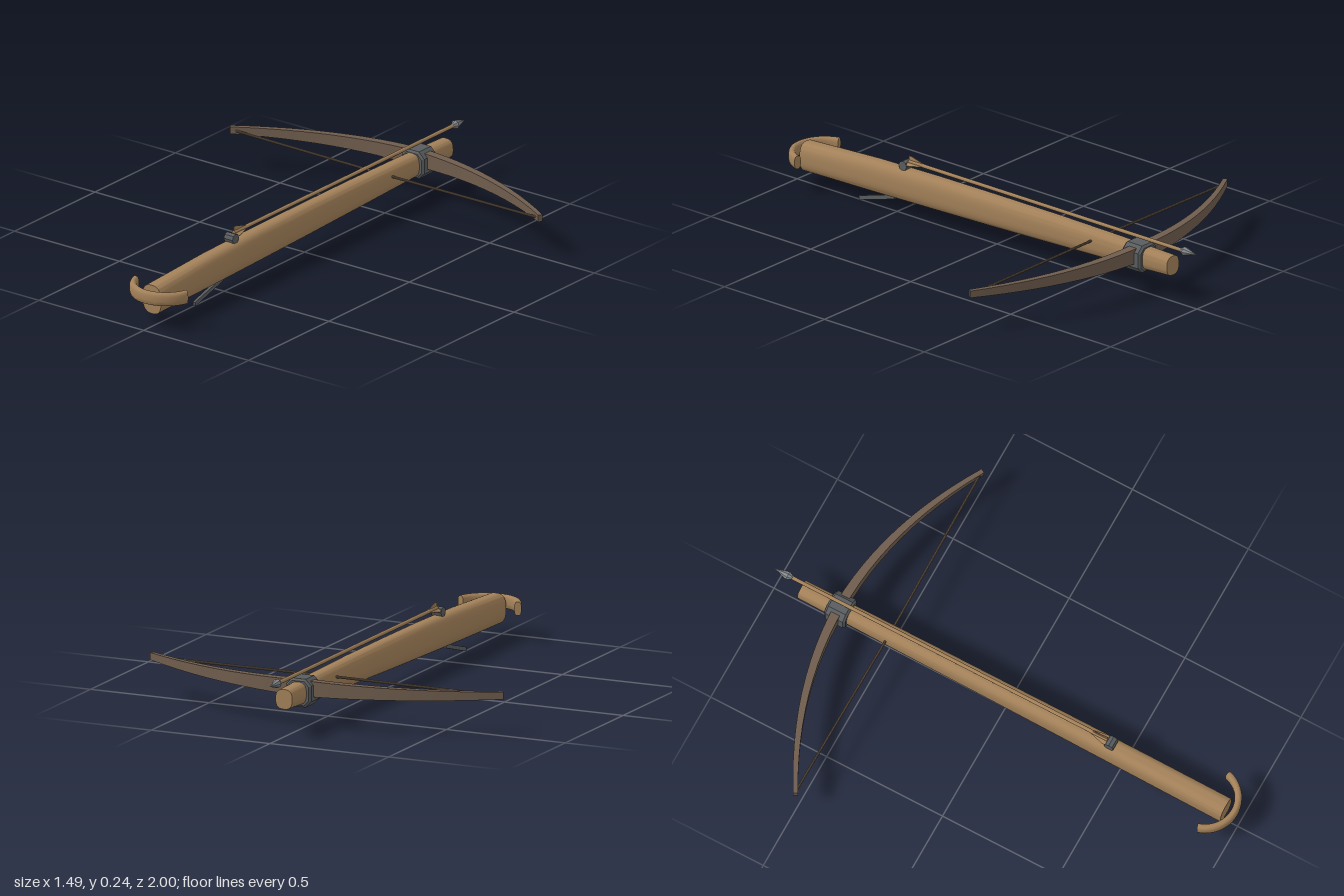
import * as THREE from 'three';
import { toCreasedNormals } from 'three/addons/utils/BufferGeometryUtils.js';

const material = (color) => new THREE.MeshStandardMaterial({ color });
const V = (x, y, z) => new THREE.Vector3(x, y, z);

// Capped sweep along stations { p, w, h } (half width, half height) with a
// superellipse section of n sides; an infinite exponent with n = 4 is a box.
function sweep(stations, n, exponent) {
  const pos = [], index = [];
  const up = V(0, 1, 0);
  const last = stations.length - 1;
  const shape = (c) => Math.sign(c) * Math.pow(Math.abs(c), 2 / exponent);
  stations.forEach(({ p, w, h }, i) => {
    const t = stations[Math.min(i + 1, last)].p.clone()
      .sub(stations[Math.max(i - 1, 0)].p).normalize();
    const u = up.clone().cross(t).normalize();
    const v = t.clone().cross(u);
    for (let j = 0; j < n; j++) {
      const a = ((j + 0.5) / n) * Math.PI * 2;
      const q = p.clone().addScaledVector(u, w * shape(Math.cos(a)))
        .addScaledVector(v, h * shape(Math.sin(a)));
      pos.push(q.x, q.y, q.z);
    }
  });
  const start = pos.length / 3;
  pos.push(...stations[0].p.toArray(), ...stations[last].p.toArray());
  for (let j = 0; j < n; j++) {
    const k = (j + 1) % n;
    for (let i = 0; i < last; i++) {
      const a = i * n + j, b = i * n + k;
      index.push(a, b, a + n, b, b + n, a + n);
    }
    index.push(start, k, j, start + 1, last * n + j, last * n + k);
  }
  const geo = new THREE.BufferGeometry();
  geo.setAttribute('position', new THREE.Float32BufferAttribute(pos, 3));
  geo.setIndex(index);
  return toCreasedNormals(geo, 0.6);
}

export function createModel() {
  const model = new THREE.Group();
  model.name = 'crossbow';
  const wood = material(0xa38159);
  const darkWood = material(0x6f5d4d);
  const metal = material(0x5a5d5f);
  const steel = material(0x85898c);
  const add = (name, geo, mat, parent = model) => {
    const mesh = new THREE.Mesh(geo, mat);
    mesh.name = name;
    parent.add(mesh);
    return mesh;
  };

  // Stock: rounded beam, deeper toward the butt: [z, bottom, top, half width]
  const stock = [
    [-0.88, 0.108, 0.185, 0.035], [-0.6, 0.094, 0.193, 0.036],
    [-0.3, 0.083, 0.197, 0.037], [0, 0.073, 0.197, 0.038],
    [0.3, 0.065, 0.195, 0.04], [0.6, 0.058, 0.188, 0.042],
    [0.95, 0.052, 0.17, 0.044],
  ].map(([z, lo, hi, w]) => ({ p: V(0, (lo + hi) / 2, z), w, h: (hi - lo) / 2 }));
  add('stock', sweep(stock, 36, 2.7), wood);

  // Curved shoulder rest behind the stock
  const rest = [];
  for (let i = 0; i <= 24; i++) {
    const a = (i / 24 * 2 - 1) * 1.31;
    rest.push({ p: V(Math.sin(a) * 0.125, 0.133, 0.861 + Math.cos(a) * 0.125), w: 0.014, h: 0.027 });
  }
  add('shoulderRest', sweep(rest, 20, 2.7), wood);

  // Bow: one bent, tapering lath of rectangular section
  const bow = [];
  for (let i = -12; i <= 12; i++) {
    const s = i / 12, k = Math.abs(s);
    bow.push({
      p: V(s * 0.74, 0.159, -0.715 + 0.212 * s * s),
      w: 0.019 - 0.01 * k, h: 0.031 - 0.017 * k,
    });
  }
  add('bow', sweep(bow, 4, Infinity), darkWood);

  // String
  const string = [-0.735, 0, 0.735].map((x) => ({
    p: V(x, 0.157, x ? -0.508 : -0.5), w: 0.005, h: 0.005,
  }));
  add('bowString', sweep(string, 8, 2), darkWood);

  // Bracket: bevelled metal block clamping the bow to the stock
  const w = 0.045, h = 0.047, c = 0.02;
  const outline = new THREE.Shape([
    [w, -h + c], [w, h - c], [w - c, h], [c - w, h],
    [-w, h - c], [-w, c - h], [c - w, -h], [w - c, -h],
  ].map(([x, y]) => new THREE.Vector2(x, y)));
  const bracket = add('bowBracket', toCreasedNormals(new THREE.ExtrudeGeometry(outline, {
    depth: 0.074, bevelSize: 0.008, bevelThickness: 0.008, bevelSegments: 1,
  }), 0.3), metal);
  bracket.position.set(0, 0.145, -0.75);

  // Bolt: shaft, steel head and three fletchings
  const bolt = new THREE.Group();
  bolt.name = 'bolt';
  bolt.position.y = 0.221;
  model.add(bolt);
  add('boltShaft', new THREE.CylinderGeometry(0.0075, 0.0075, 1.38, 12)
    .rotateX(Math.PI / 2).translate(0, 0, -0.25), wood, bolt);
  const headProfile = [[0, 0], [0.008, 0], [0.018, 0.018], [0, 0.08]]
    .map(([x, y]) => new THREE.Vector2(x, y));
  add('boltHead', toCreasedNormals(new THREE.LatheGeometry(headProfile, 8), 0.3)
    .rotateX(-Math.PI / 2).translate(0, 0, -0.92), steel, bolt);
  const vane = new THREE.Shape([[0.34, 0], [0.44, 0], [0.44, 0.023], [0.425, 0.023]]
    .map(([x, y]) => new THREE.Vector2(x, y)));
  for (let i = 0; i < 3; i++) {
    const fin = add('fletching', new THREE.ExtrudeGeometry(vane, { depth: 0.003, bevelEnabled: false })
      .translate(0, 0, -0.0015).rotateY(-Math.PI / 2), wood, bolt);
    fin.rotation.z = i * Math.PI * 2 / 3;
  }

  // Release nut across the top of the stock
  const nut = add('releaseNut', toCreasedNormals(
    new THREE.CylinderGeometry(0.02, 0.02, 0.042, 8), 0.3), metal);
  nut.rotation.z = Math.PI / 2;
  nut.position.set(0, 0.204, 0.455);

  // Trigger lever under the stock
  const lever = [V(0, 0.058, 0.51), V(0, 0.008, 0.686)].map((p) => ({ p, w: 0.006, h: 0.008 }));
  add('triggerLever', sweep(lever, 4, Infinity), metal);

  return model;
}
